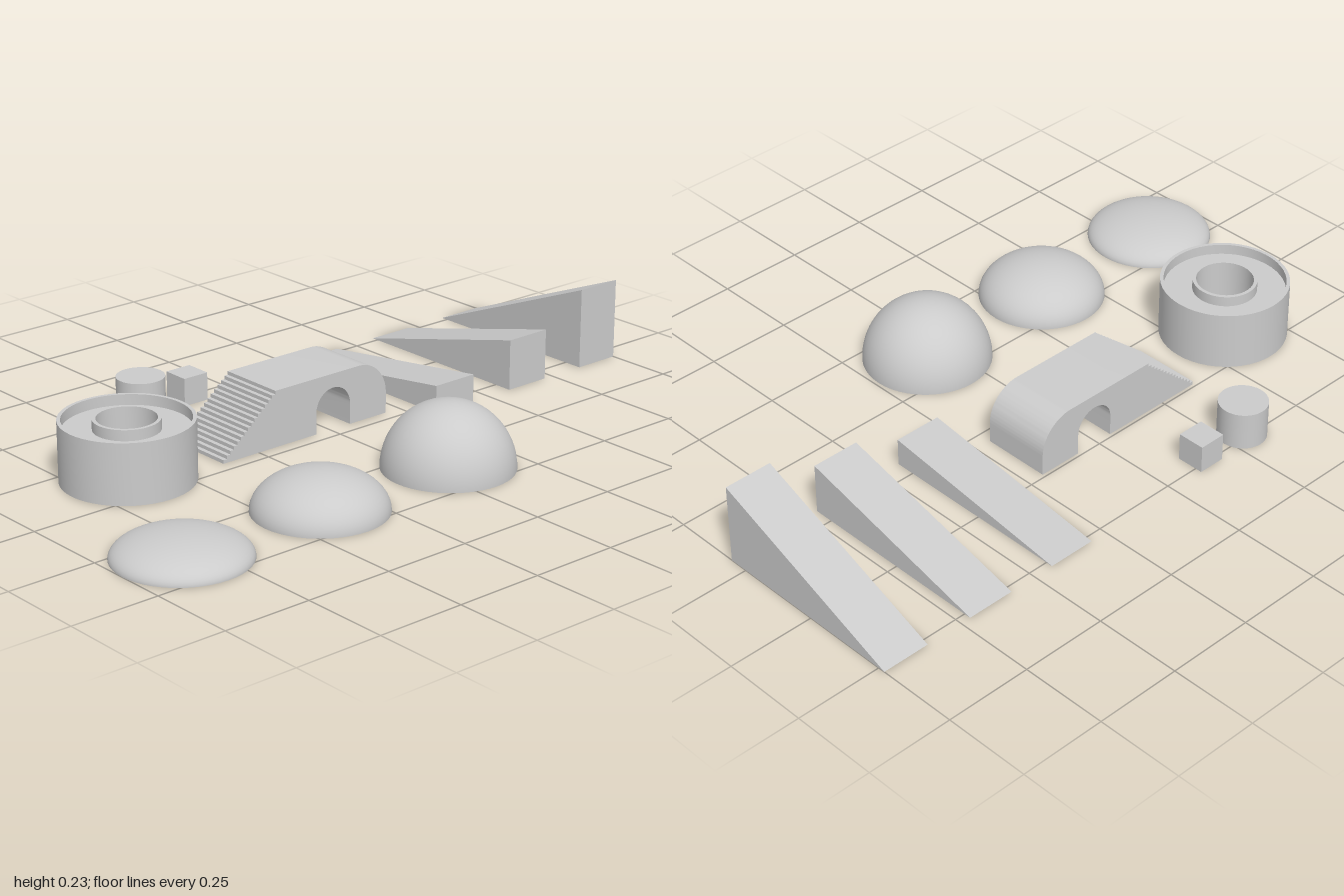
import * as THREE from 'three';
import { toCreasedNormals } from 'three/addons/utils/BufferGeometryUtils.js';

export function createModel() {
  const model = new THREE.Group();
  const solid = new THREE.MeshStandardMaterial({ color: 0xcccccc });
  const shell = new THREE.MeshStandardMaterial({ color: 0xcccccc, side: THREE.DoubleSide });

  function add(name, geometry, x, y, z, material = solid) {
    const mesh = new THREE.Mesh(geometry, material);
    mesh.name = name;
    mesh.position.set(x, y, z);
    model.add(mesh);
    return mesh;
  }

  // Three open domes of growing height
  [['lowDome', -0.82, 0.065], ['mediumDome', -0.38, 0.11], ['highDome', 0.06, 0.183]].forEach(([name, x, h]) => {
    const dome = new THREE.SphereGeometry(0.18, 48, 16, 0, Math.PI * 2, 0, Math.PI / 2);
    dome.scale(1, h / 0.18, 1);
    add(name, dome, x, 0, 0.36, shell);
  });

  // Three wedge ramps, tall at the front and sloping down to the back
  [['lowRamp', 0.37, 0.08], ['mediumRamp', 0.65, 0.147], ['highRamp', 0.93, 0.233]].forEach(([name, x, h]) => {
    const side = new THREE.Shape([
      new THREE.Vector2(-0.055, 0),
      new THREE.Vector2(0.52, 0),
      new THREE.Vector2(-0.055, h),
    ]);
    const wedge = new THREE.ExtrudeGeometry(side, { depth: 0.14, bevelEnabled: false });
    wedge.translate(0, 0, -0.07).rotateY(Math.PI / 2);
    add(name, wedge, x, 0, 0);
  });

  // Bridge: stairs on one end, archway through the middle, rounded far end
  const steps = 16, rise = 0.16 / steps, run = 0.19 / steps;
  const profile = new THREE.Shape();
  profile.moveTo(-0.37, 0);
  for (let i = 0; i < steps; i++) {
    profile.lineTo(-0.37 + i * run, (i + 1) * rise);
    profile.lineTo(-0.37 + (i + 1) * run, (i + 1) * rise);
  }
  profile.lineTo(0.1, 0.16);
  profile.absarc(0.1, 0.06, 0.1, Math.PI / 2, 0, true);
  profile.lineTo(0.2, 0);
  profile.lineTo(0.07, 0);
  profile.lineTo(0.07, 0.06);
  profile.absarc(0.01, 0.06, 0.06, 0, Math.PI, false);
  profile.lineTo(-0.05, 0);
  profile.closePath();
  const bridge = new THREE.ExtrudeGeometry(profile, { depth: 0.2, bevelEnabled: false, curveSegments: 16 });
  add('archBridge', toCreasedNormals(bridge, 0.5), 0, 0, -0.24);

  // Round ring with a through hole and a channel sunk between two rims
  const section = [
    [0.08, 0], [0.18, 0], [0.18, 0.17], [0.17, 0.17], [0.17, 0.14],
    [0.09, 0.14], [0.09, 0.17], [0.08, 0.17], [0.08, 0],
  ].map(([r, y]) => new THREE.Vector2(r, y));
  add('channelRing', toCreasedNormals(new THREE.LatheGeometry(section, 48), 0.5), -0.62, 0, -0.12);

  // Small loose blocks at the back
  add('smallCylinder', new THREE.CylinderGeometry(0.068, 0.068, 0.108, 32), -0.305, 0.054, -0.48);
  add('smallCube', new THREE.BoxGeometry(0.08, 0.08, 0.08), -0.145, 0.04, -0.48);

  return model;
}
